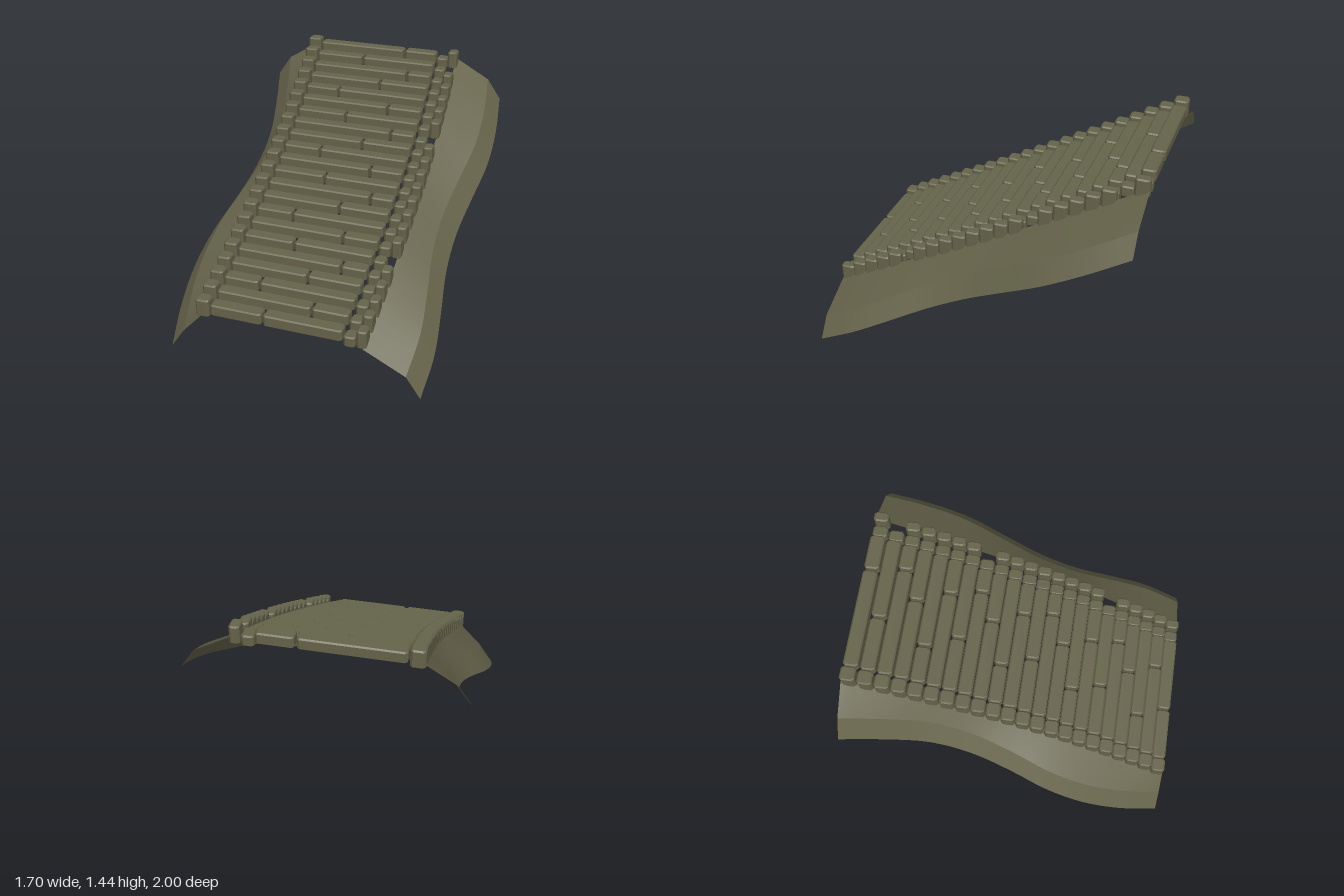
import * as THREE from 'three';

const ROWS = 22;
const PITCH = 2 / ROWS;
const STEP = 0.051;
const SLOPE = 0.56;

// sideways bow of the whole path
const bow = (z) => 0.045 * Math.cos((z * Math.PI) / 2);

// chamfered stone block between x0..x1 and y0..y1, centred on z
function block(name, x0, x1, y0, y1, z, material) {
  const w = (x1 - x0) / 2, d = PITCH / 2 - 0.001, c = 0.014, b = 0.008;
  const outline = new THREE.Shape([
    [w - c, -d], [w, c - d], [w, d - c], [w - c, d],
    [c - w, d], [-w, d - c], [-w, c - d], [c - w, -d],
  ].map(([x, y]) => new THREE.Vector2(x, y)));
  const geometry = new THREE.ExtrudeGeometry(outline, {
    depth: y1 - y0 - 2 * b, bevelThickness: b, bevelSize: b, bevelOffset: -b, bevelSegments: 1,
  });
  geometry.rotateX(-Math.PI / 2).translate((x0 + x1) / 2, y0 + b, z);
  const mesh = new THREE.Mesh(geometry, material);
  mesh.name = name;
  return mesh;
}

// one lengthwise strip of embankment between two edge curves, each z -> [x, y]
function strip(name, inner, outer, side, material) {
  const n = 32, pos = [], index = [];
  for (let i = 0; i <= n; i++) {
    const z = -1 + (2 * i) / n;
    pos.push(...inner(z), z, ...outer(z), z);
    if (i === n) break;
    const a = i * 2, b = a + 1, c = a + 2, d = a + 3;
    if (side > 0) index.push(a, c, b, b, c, d);
    else index.push(a, b, c, b, d, c);
  }
  const geometry = new THREE.BufferGeometry();
  geometry.setAttribute('position', new THREE.Float32BufferAttribute(pos, 3));
  geometry.setIndex(index);
  geometry.computeVertexNormals();
  const mesh = new THREE.Mesh(geometry, material);
  mesh.name = name;
  return mesh;
}

// wavy outer edge: smooth x through evenly spaced stations from back to front
function wave(xs) {
  const curve = new THREE.CatmullRomCurve3(
    xs.map((x, i) => new THREE.Vector3(x, 0, i)), false, 'catmullrom', 0.5);
  return (z) => curve.getPoint((z + 1) / 2).x;
}

export function createModel() {
  const model = new THREE.Group();
  model.name = 'slopedPath';
  const stone = new THREE.MeshStandardMaterial({ color: 0x65634a });
  stone.name = 'mossy stone';
  const earth = stone;
  earth.side = THREE.DoubleSide;

  const groups = {};
  for (const name of ['paving', 'rightKerb', 'leftGutter', 'leftKerb', 'embankments']) {
    groups[name] = new THREE.Group();
    groups[name].name = name;
    model.add(groups[name]);
  }

  // joint position in every paving row, back to front
  const joints = [0.125, -0.15, 0.195, 0.03, -0.235, 0.145, -0.12, 0.225, 0.06, -0.2, 0.175,
    -0.1, 0.24, 0.065, -0.21, 0.155, -0.13, 0.21, 0.03, -0.245, 0.125, -0.15];
  const missing = [1, 7, 16];

  joints.forEach((joint, row) => {
    const z = -1 + (row + 0.5) * PITCH;
    const s = bow(z);
    const y = (ROWS - 1 - row) * STEP;
    // two slabs per row
    groups.paving.add(
      block('slab', -0.49 + s, joint - 0.007, 0.28 + y, 0.354 + y, z, stone),
      block('slab', joint + 0.007, 0.347 + s, 0.28 + y, 0.354 + y, z, stone));
    // raised kerbs and sunken gutter
    groups.rightKerb.add(block('kerbStone', -0.587 + s, -0.5 + s, 0.26 + y, 0.375 + y, z, stone));
    groups.leftGutter.add(block('gutterStone', 0.355 + s, 0.427 + s, 0.255 + y, 0.325 + y, z, stone));
    if (!missing.includes(row)) {
      groups.leftKerb.add(block('kerbStone', 0.434 + s, 0.495 + s, 0.26 + y, 0.375 + y, z, stone));
    }
  });

  // curved embankments falling away on both sides
  const base = (z) => 0.565 - SLOPE * z;
  const banks = [
    { side: -1, name: 'rightBank', top: -0.55,
      x: wave([-0.853, -0.78, -0.724, -0.722, -0.765, -0.825, -0.845, -0.82, -0.762]) },
    { side: 1, name: 'leftBank', top: 0.478,
      x: wave([0.8, 0.836, 0.842, 0.805, 0.77, 0.772, 0.81, 0.842, 0.83]) },
  ];
  for (const { side, name, top, x } of banks) {
    const crest = (z) => [top + bow(z), base(z) + 0.26];
    const fold = (z) => [x(z) - side * 0.09, base(z) + 0.13];
    const foot = (z) => [x(z), base(z)];
    groups.embankments.add(
      strip(name + 'Upper', crest, fold, side, earth),
      strip(name + 'Lower', fold, foot, side, earth));
  }
  return model;
}
